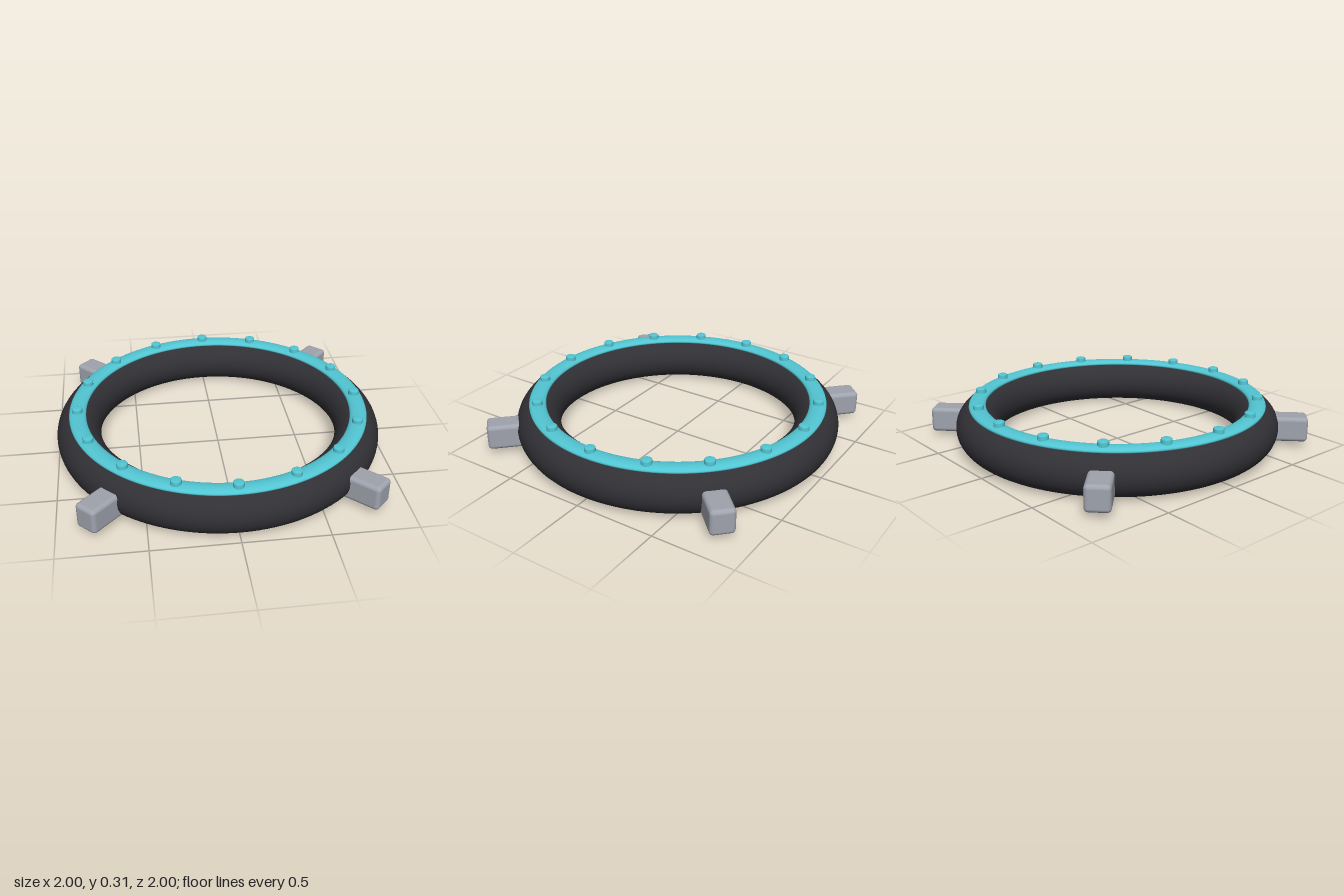
import * as THREE from 'three';
import { RoundedBoxGeometry } from 'three/addons/geometries/RoundedBoxGeometry.js';

const RING = 0.866; // radius of the ring's centre line
const TUBE = 0.134;

export function createModel() {
  const model = new THREE.Group();
  model.name = 'ring';
  const dark = new THREE.MeshStandardMaterial({ name: 'dark rubber', color: 0x303035 });
  const teal = new THREE.MeshStandardMaterial({ name: 'teal', color: 0x52c6d3 });
  const grey = new THREE.MeshStandardMaterial({ name: 'light grey', color: 0x9fa3ad });

  const add = (name, geometry, material, x, y, z) => {
    const mesh = new THREE.Mesh(geometry, material);
    mesh.name = name;
    mesh.position.set(x, y, z);
    model.add(mesh);
    return mesh;
  };

  // Main body: a thick ring lying flat
  const body = new THREE.TorusGeometry(RING, TUBE, 40, 128).rotateX(-Math.PI / 2);
  add('body', body, dark, 0, TUBE, 0);

  // Flattened band along the crest
  const band = new THREE.TorusGeometry(RING, 0.052, 20, 128).rotateX(-Math.PI / 2).scale(1, 0.4, 1);
  add('topBand', band, teal, 0, 0.265, 0);

  // Sixteen round studs on the band
  const profile = [[0.032, -0.03], [0.032, 0.01], [0.03, 0.015], [0.025, 0.018], [0, 0.019]];
  const stud = new THREE.LatheGeometry(profile.map(([r, y]) => new THREE.Vector2(r, y)), 20);
  for (let i = 0; i < 16; i++) {
    const a = (i / 16) * Math.PI * 2;
    add('stud', stud, teal, Math.cos(a) * RING, 0.295, Math.sin(a) * RING);
  }

  // Four rounded blocks pointing outward on the diagonals
  const block = new RoundedBoxGeometry(0.3, 0.155, 0.144, 4, 0.025);
  for (let i = 0; i < 4; i++) {
    const a = Math.PI / 4 + (i * Math.PI) / 2;
    add('sideBlock', block, grey, Math.cos(a) * 1.03, 0.1125, Math.sin(a) * 1.03).rotation.y = -a;
  }
  return model;
}
